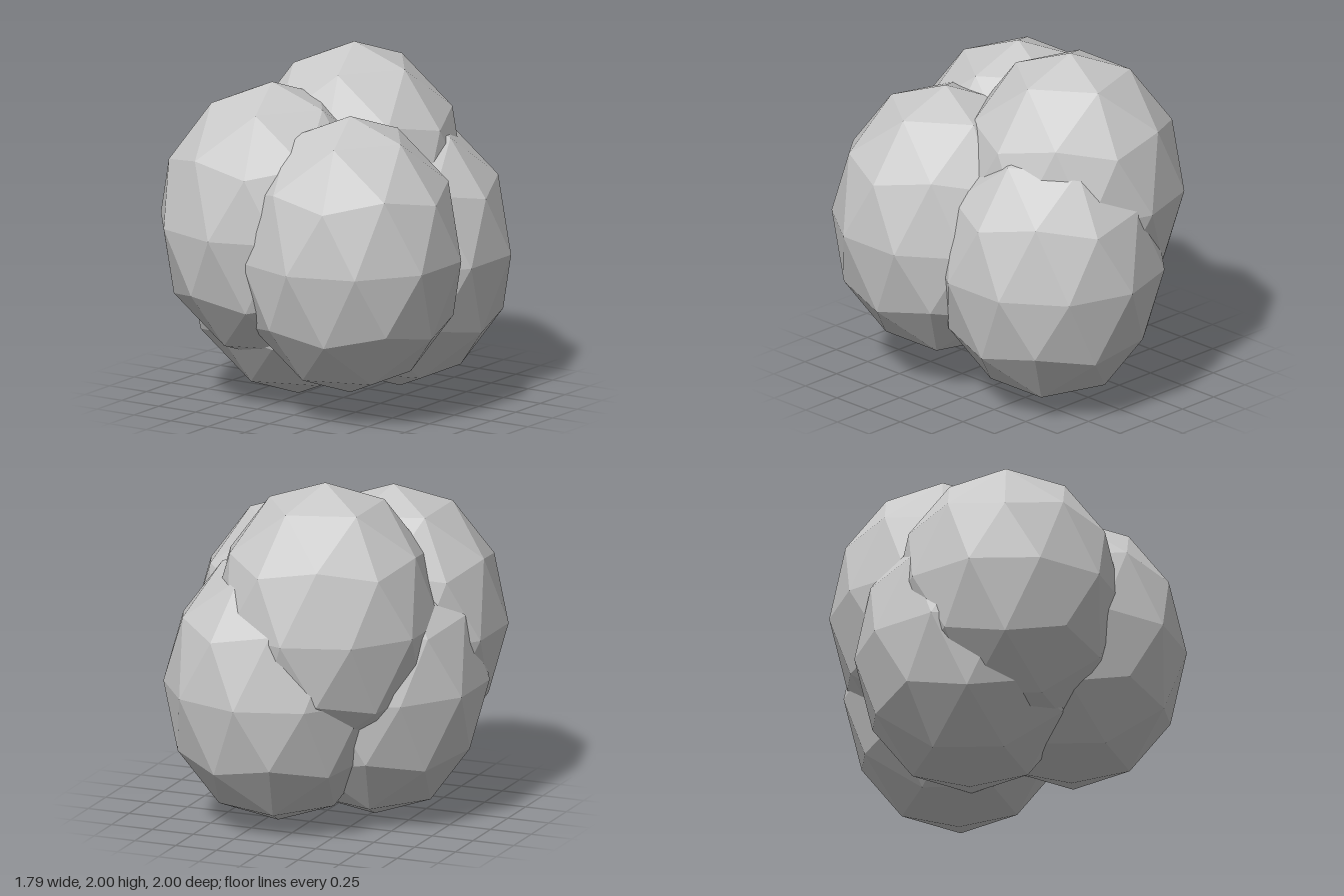
import * as THREE from 'three';

// Faceted ball with a vertex at each pole and an upper-ring vertex towards +x
function facetedBall() {
  const ball = new THREE.IcosahedronGeometry(1, 1);
  ball.rotateX(-Math.atan((1 + Math.sqrt(5)) / 2));
  ball.rotateY(Math.PI / 2);
  ball.scale(0.65, 0.8, 0.65); // every lobe is taller than it is wide
  ball.computeVertexNormals();
  return ball;
}

export function createModel() {
  const group = new THREE.Group();
  group.name = 'lobeCluster';
  const grey = new THREE.MeshStandardMaterial({ color: 0xc8c8c8 });
  grey.name = 'light grey';
  grey.flatShading = true;

  // Five overlapping lobes, by centre
  const lobes = {
    frontLeftLobe: [0.28, 0.94, 0.35],
    frontRightLobe: [-0.27, 1.06, 0.32],
    upperBackLobe: [-0.1, 1.2, -0.26],
    lowerBackLobe: [0.15, 0.82, -0.35],
    lowerRightLobe: [-0.27, 0.8, 0.05],
  };
  const geometry = facetedBall();
  for (const [name, centre] of Object.entries(lobes)) {
    const lobe = new THREE.Mesh(geometry, grey);
    lobe.name = name;
    lobe.position.set(...centre);
    group.add(lobe);
  }
  return group;
}
